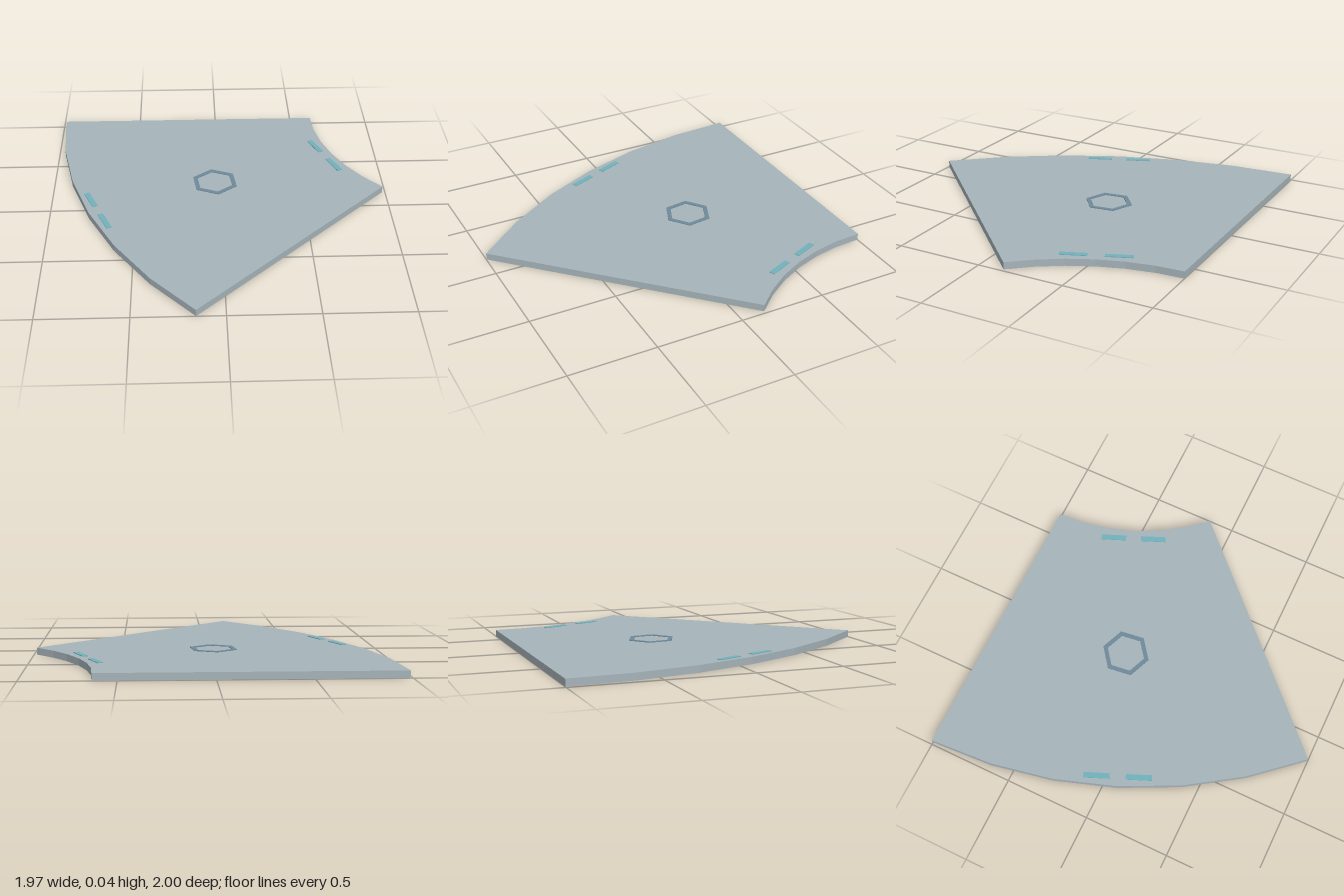
import * as THREE from 'three';

const CX = 1.84, CZ = -1;            // centre of the arc
const R_IN = 1.212, R_OUT = 2.826;   // inner and outer radius
const SWEEP = Math.PI / 4, MID = SWEEP / 2;
const THICK = 0.04, RAISE = 0.004;

const mat = (name, color) => {
  const m = new THREE.MeshStandardMaterial({ color });
  m.name = name;
  return m;
};

// Point on the floor plan at radius r and angle a from the back edge, as (x, -z)
const polar = (r, a) => new THREE.Vector2(CX - r * Math.cos(a), -CZ - r * Math.sin(a));

// Extrude a floor-plan shape upwards from height y
function slab(shape, depth, y) {
  const g = new THREE.ExtrudeGeometry(shape, { depth, bevelEnabled: false });
  g.rotateX(-Math.PI / 2);
  g.translate(0, y, 0);
  return g;
}

export function createModel() {
  const group = new THREE.Group();
  const add = (name, geometry, material) => {
    const mesh = new THREE.Mesh(geometry, material);
    mesh.name = name;
    group.add(mesh);
    return mesh;
  };
  const panelGrey = mat('panelGrey', 0xa6b4ba);
  const markBlue = mat('markBlue', 0x6f8a9b);
  const stripTeal = mat('stripTeal', 0x72b2bc);

  // Curved floor panel, six facets on each arc
  const steps = [0, 1, 2, 3, 4, 5, 6].map(i => (i / 6) * SWEEP);
  const outline = [
    ...steps.map(a => polar(R_OUT, a)),
    ...steps.slice().reverse().map(a => polar(R_IN, a)),
  ];
  add('floorPanel', slab(new THREE.Shape(outline), THICK, 0), panelGrey);

  // Hexagonal ring in the middle
  const hexagon = r => steps.slice(0, 6).map((_, i) => {
    const a = -MID + (i * Math.PI) / 3;
    return new THREE.Vector2(r * Math.cos(a), r * Math.sin(a));
  });
  const ring = new THREE.Shape(hexagon(0.141));
  ring.holes.push(new THREE.Path(hexagon(0.113)));
  const mid = polar((R_IN + R_OUT) / 2, MID);
  add('hexRing', slab(ring, RAISE, THICK), markBlue).position.set(mid.x, 0, -mid.y);

  // Two strips beside each curved edge
  for (const [edge, r] of [['inner', 1.264], ['outer', 2.769]]) {
    for (const side of [-1, 1]) {
      const p = polar(r, MID);
      const strip = add(edge + 'Strip', new THREE.BoxGeometry(0.032, RAISE, 0.15), stripTeal);
      strip.position.set(
        p.x + side * 0.121 * Math.sin(MID),
        THICK + RAISE / 2,
        -p.y + side * 0.121 * Math.cos(MID),
      );
      strip.rotation.y = MID;
    }
  }
  return group;
}
